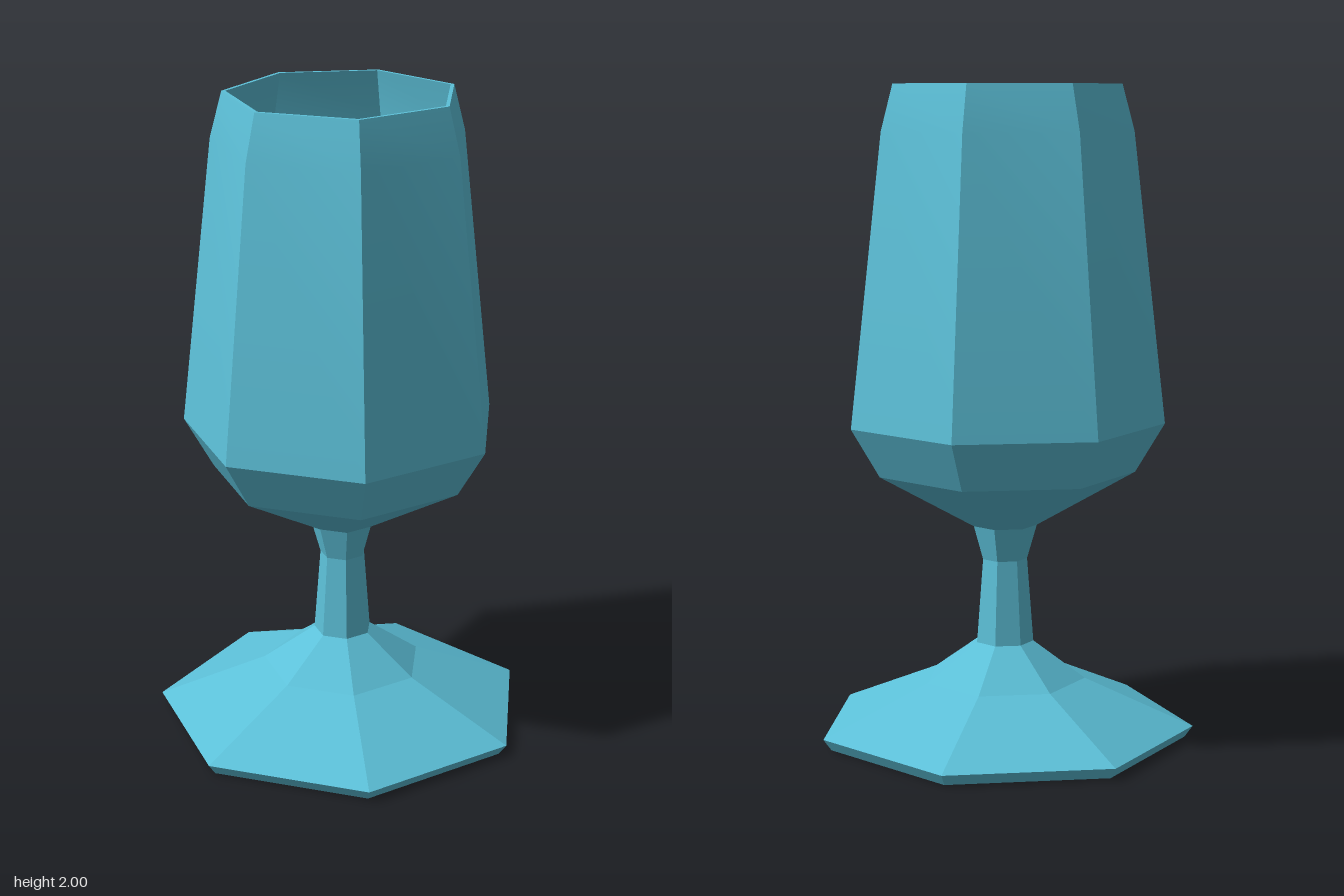
import * as THREE from 'three';
import { toCreasedNormals } from 'three/addons/utils/BufferGeometryUtils.js';

const SIDES = 7;
const COLOR = 0x5cc0d8;

// Seven-sided turned part with one corner towards +x; profile is [radius, height]
function turned(name, profile, creaseAngle) {
  const points = profile.map(([r, y]) => new THREE.Vector2(r, y));
  const lathe = new THREE.LatheGeometry(points, SIDES, Math.PI / 2);
  const geometry = toCreasedNormals(lathe, creaseAngle);
  const mesh = new THREE.Mesh(geometry, new THREE.MeshStandardMaterial({ color: COLOR }));
  mesh.name = name;
  return mesh;
}

export function createModel() {
  const goblet = new THREE.Group();
  goblet.name = 'goblet';
  const flat = 0.1;
  const soft = 0.75;

  // Hollow underside of the foot, from the centre out to the standing edge
  goblet.add(turned('footUnderside', [
    [0, 0.27], [0.07, 0.27], [0.23, 0.155], [0.535, 0.025], [0.53, 0], [0.56, 0],
  ], soft));

  // Foot: thin rim and sloping top
  goblet.add(turned('foot', [[0.56, 0], [0.585, 0.035], [0.25, 0.18], [0.09, 0.295]], flat));

  // Stem, narrowing and then flaring into the bowl
  goblet.add(turned('stem', [[0.09, 0.295], [0.07, 0.555], [0.1, 0.66]], flat));

  // Outside of the bowl up to the flat lip
  goblet.add(turned('bowl', [
    [0.1, 0.66], [0.4, 0.83], [0.489, 0.98], [0.389, 1.86], [0.352, 2], [0.34, 2],
  ], 0.4));

  // Inside of the bowl, from the lip down to a small flat floor
  goblet.add(turned('bowlInside', [
    [0.34, 2], [0.375, 1.86], [0.472, 0.985], [0.386, 0.845], [0.092, 0.68], [0, 0.68],
  ], soft));

  // An odd number of sides puts the axis slightly off the middle
  goblet.children.forEach((part) => { part.position.x = -0.029; });
  return goblet;
}
